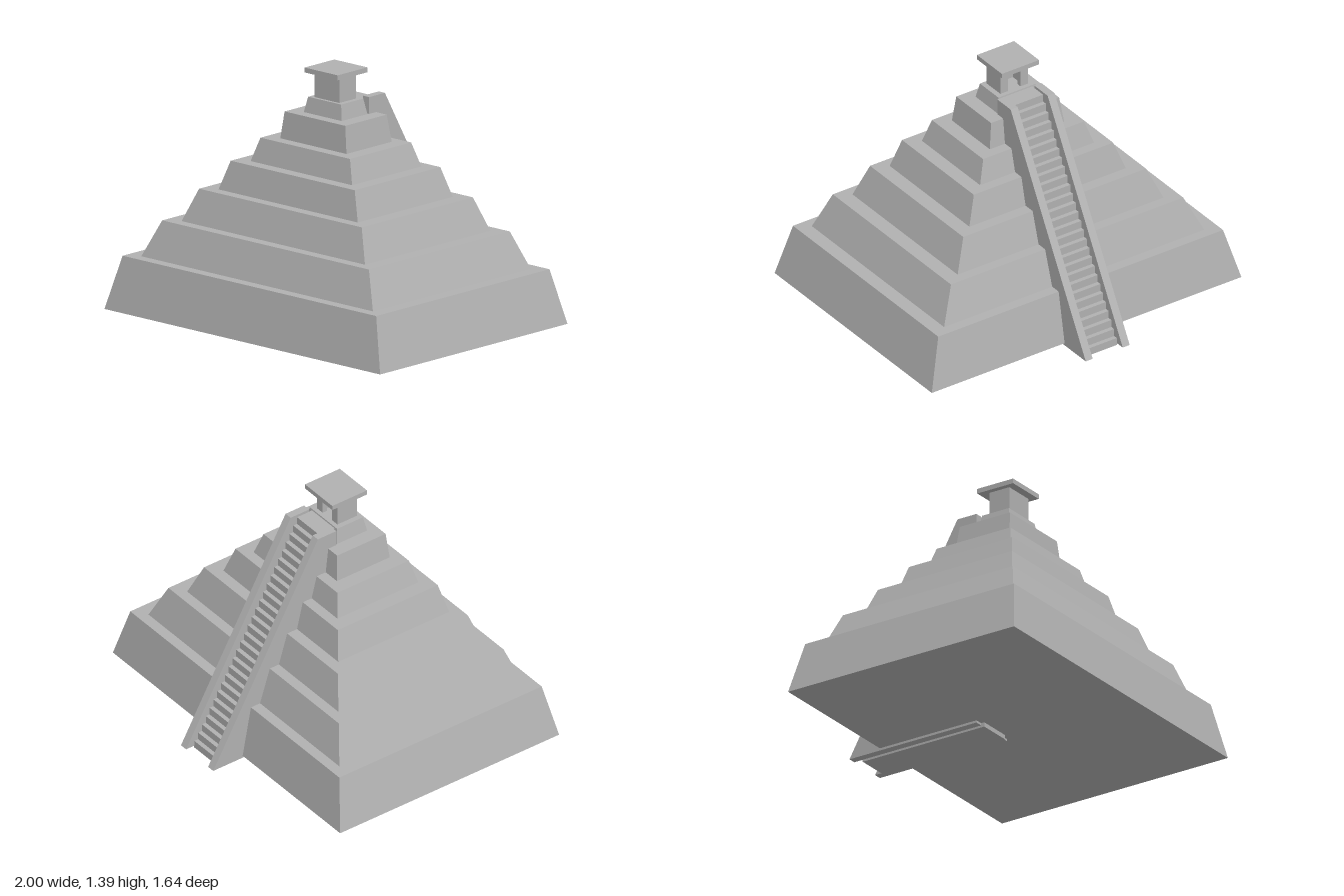
import * as THREE from 'three';

const stone = new THREE.MeshStandardMaterial({ color: 0xb0b0b0 });
stone.name = 'stone grey';

function add(parent, name, geometry) {
  const mesh = new THREE.Mesh(geometry, stone);
  mesh.name = name;
  parent.add(mesh);
  return mesh;
}

// Box whose top is smaller than its bottom: half widths and front/back z at each level
function tierGeometry([y0, y1, x0, x1, front0, front1, back0, back1]) {
  const geo = new THREE.BoxGeometry(2, 1, 1);
  const p = geo.attributes.position;
  for (let i = 0; i < p.count; i++) {
    const top = p.getY(i) > 0;
    const front = p.getZ(i) > 0;
    p.setXYZ(i, p.getX(i) * (top ? x1 : x0), top ? y1 : y0,
      front ? (top ? front1 : front0) : (top ? back1 : back0));
  }
  geo.computeVertexNormals();
  return geo;
}

// Side profile of [distance towards the back, height], extruded from x0 to x1
function sideProfile(points, x0, x1) {
  const shape = new THREE.Shape(points.map(([a, b]) => new THREE.Vector2(a, b)));
  const geo = new THREE.ExtrudeGeometry(shape, { depth: x1 - x0, bevelEnabled: false });
  geo.rotateY(Math.PI / 2);
  geo.translate(x0, 0, 0);
  return geo;
}

function box(x0, x1, y0, y1, z0, z1) {
  const geo = new THREE.BoxGeometry(x1 - x0, y1 - y0, z1 - z0);
  geo.translate((x0 + x1) / 2, (y0 + y1) / 2, (z0 + z1) / 2);
  return geo;
}

export function createModel() {
  const model = new THREE.Group();
  model.name = 'steppedPyramid';

  // Seven sloping tiers
  const tiers = [
    [0.025, 0.32, 1.0, 0.92, 0.82, 0.765, -0.63, -0.575],
    [0.32, 0.52, 0.84, 0.75, 0.705, 0.64, -0.515, -0.45],
    [0.52, 0.70, 0.665, 0.59, 0.58, 0.525, -0.39, -0.335],
    [0.70, 0.86, 0.505, 0.45, 0.465, 0.43, -0.27, -0.232],
    [0.86, 0.99, 0.368, 0.325, 0.363, 0.333, -0.173, -0.14],
    [0.99, 1.138, 0.24, 0.22, 0.27, 0.258, -0.08, -0.063],
    [1.138, 1.222, 0.137, 0.12, 0.198, 0.183, -0.002, 0.012],
  ];
  tiers.forEach((t, i) => add(model, `tier${i + 1}`, tierGeometry(t)));

  // Staircase up the back
  const steps = 28, foot = 0.77, head = 0.09, height = 1.215;
  const profile = [[-0.01, 0], [foot, 0]];
  for (let i = 0; i < steps; i++) {
    const a = foot - (foot - head) * i / (steps - 1);
    const b = height * (i + 1) / steps;
    if (i > 0) profile.push([a, height * i / steps]);
    profile.push([a, b]);
  }
  profile.push([-0.01, height]);
  add(model, 'staircase', sideProfile(profile, -0.098, 0.098));

  // Sloping walls on both sides of the stairs
  const wall = [[0.01, 0.012], [0.825, 0.012], [0.132, 1.23], [0.01, 1.23]];
  add(model, 'stairWallLeft', sideProfile(wall, 0.097, 0.142));
  add(model, 'stairWallRight', sideProfile(wall, -0.142, -0.097));

  // Temple with a doorway facing the stairs
  const temple = new THREE.Group();
  temple.name = 'temple';
  model.add(temple);
  const y0 = 1.22, y1 = 1.36;
  add(temple, 'frontWall', box(-0.09, 0.09, y0, y1, 0.135, 0.165));
  for (const s of [-1, 1]) {
    const side = s > 0 ? 'Left' : 'Right';
    const span = (a, b) => (s > 0 ? [a, b] : [-b, -a]);
    add(temple, `sideWall${side}`, box(...span(0.06, 0.09), y0, y1, 0.065, 0.135));
    add(temple, `doorPier${side}`, box(...span(0.04, 0.09), y0, y1, 0.037, 0.065));
  }
  add(temple, 'roof', box(-0.12, 0.12, y1, 1.387, -0.02, 0.21));

  return model;
}
